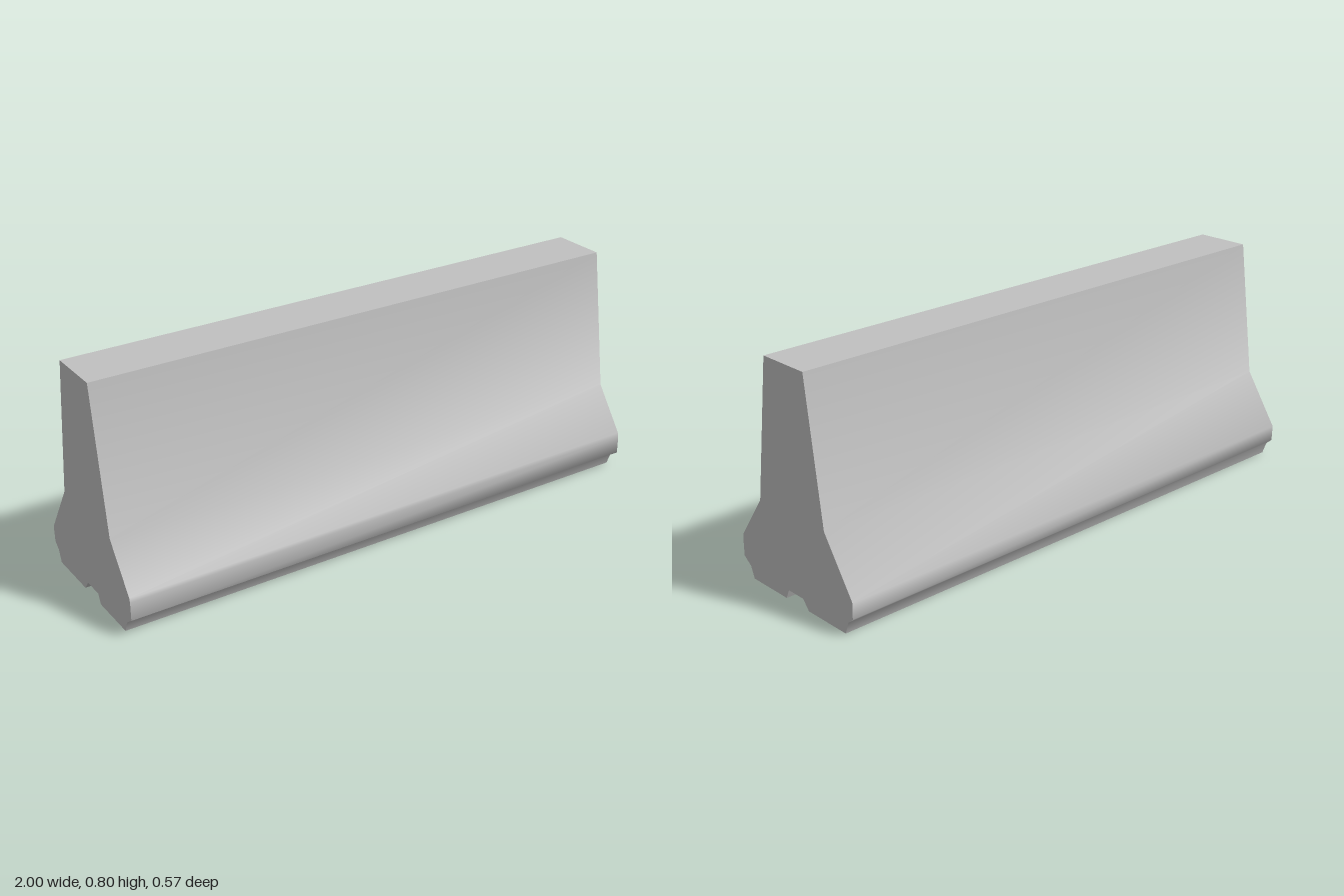
import * as THREE from 'three';
import { toCreasedNormals } from 'three/addons/utils/BufferGeometryUtils.js';

export function createModel() {
  const group = new THREE.Group();
  group.name = 'roadBarrier';

  const concrete = new THREE.MeshStandardMaterial({ color: 0xc0c0c0 });
  concrete.name = 'concrete';

  // Cross-section as [z, y]: front side down, drainage notch, back side up
  const profile = [
    [0.098, 0.797], [0.172, 0.3], [0.284, 0.145], [0.287, 0.13],
    [0.287, 0.065], [0.253, 0.04], [0.237, 0],
    [0.06, 0], [0.045, 0.033], [-0.031, 0.033], [-0.058, 0],
    [-0.245, 0], [-0.261, 0.043], [-0.284, 0.063],
    [-0.286, 0.12], [-0.161, 0.31], [-0.098, 0.797],
  ];
  const shape = new THREE.Shape(profile.map(([z, y]) => new THREE.Vector2(z, y)));

  // Extrude along the length, then turn the section to face sideways
  const geometry = new THREE.ExtrudeGeometry(shape, { depth: 2, bevelEnabled: false });
  geometry.translate(0, 0, -1);
  geometry.rotateY(-Math.PI / 2);

  // Soft side slopes, sharp top, base and end edges
  const body = new THREE.Mesh(toCreasedNormals(geometry, 1.0), concrete);
  body.name = 'barrierBody';
  group.add(body);
  return group;
}
